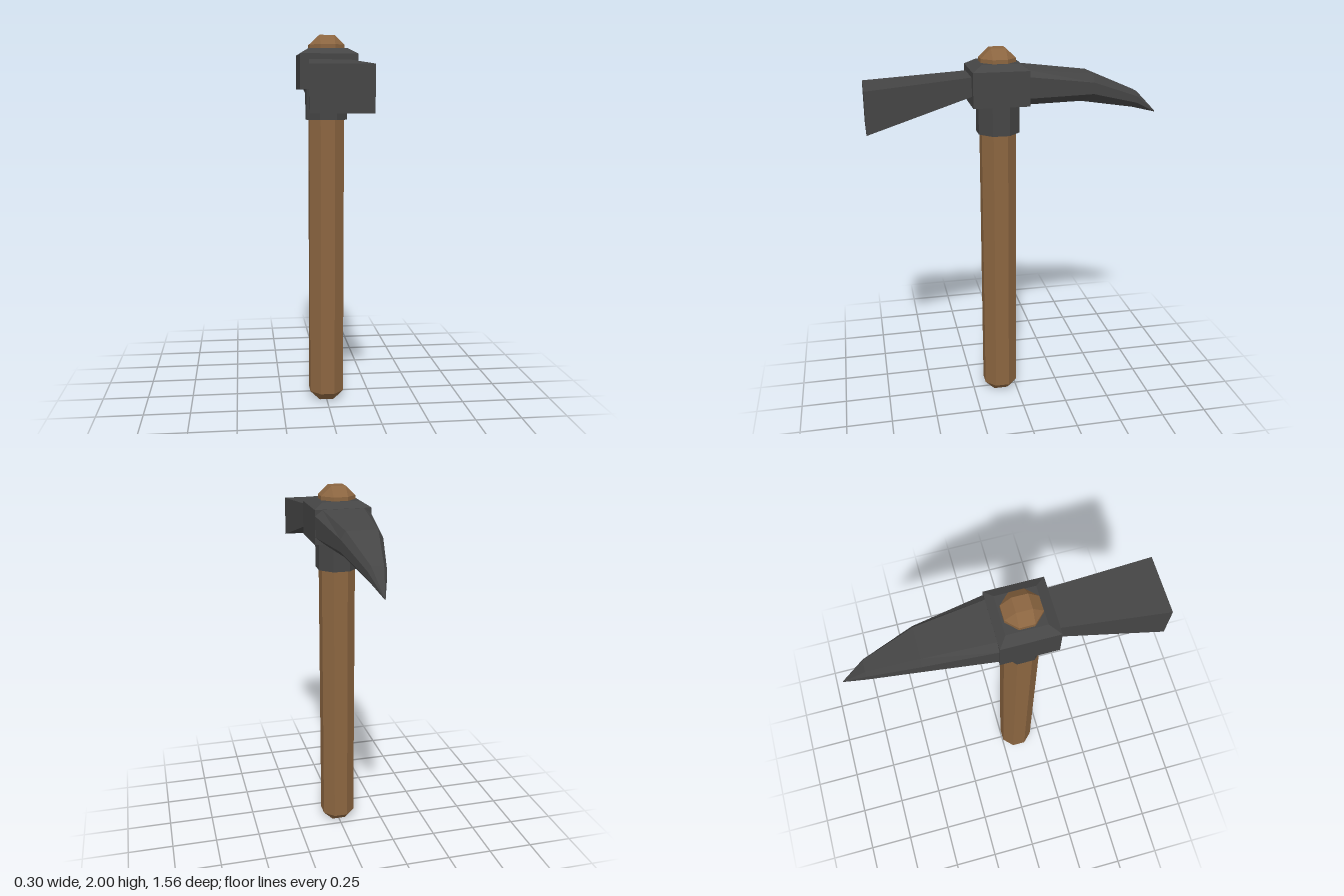
import * as THREE from 'three';
import { ConvexGeometry } from 'three/addons/geometries/ConvexGeometry.js';

const wood = new THREE.MeshStandardMaterial({ color: 0x8b6540, flatShading: true });
const iron = new THREE.MeshStandardMaterial({ color: 0x454545, flatShading: true });
const HANDLE_Z = 0.093;

// Rectangle of four corners at height y
const rectY = (hx, z0, z1, y) =>
  [[-hx, z0], [hx, z0], [hx, z1], [-hx, z1]].map(([x, z]) => new THREE.Vector3(x, y, z));

// Rectangle of four corners at depth z
const rectZ = (hx, y0, y1, z) =>
  [[-hx, y0], [hx, y0], [hx, y1], [-hx, y1]].map(([x, y]) => new THREE.Vector3(x, y, z));

// Octagon with flats facing the axes
function octagon(apothem, y) {
  const r = apothem / Math.cos(Math.PI / 8);
  return Array.from({ length: 8 }, (_, i) => {
    const a = (i + 0.5) * Math.PI / 4;
    return new THREE.Vector3(Math.cos(a) * r, y, HANDLE_Z + Math.sin(a) * r);
  });
}

// Skin between rings of equal point count, with both ends capped
function loft(rings) {
  const n = rings[0].length, pos = [], index = [];
  rings.forEach(ring => ring.forEach(p => pos.push(...p)));
  for (let r = 0; r < rings.length - 1; r++) {
    for (let i = 0; i < n; i++) {
      const a = r * n + i, b = r * n + (i + 1) % n;
      index.push(a, b, b + n, a, b + n, a + n);
    }
  }
  const last = (rings.length - 1) * n;
  for (let i = 1; i < n - 1; i++) {
    index.push(0, i + 1, i, last, last + i, last + i + 1);
  }
  const g = new THREE.BufferGeometry();
  g.setAttribute('position', new THREE.Float32BufferAttribute(pos, 3));
  g.setIndex(index);
  const flat = g.toNonIndexed();
  flat.computeVertexNormals();
  return flat;
}

// Eight-sided spike section: chamfered above and below
const spikeRing = ([z, top, upper, lower, bottom, hTop, hSide, hBottom, zBottom]) => [
  [hTop, top, z], [hSide, upper, z], [hSide, lower, z], [hBottom, bottom, zBottom],
  [-hBottom, bottom, zBottom], [-hSide, lower, z], [-hSide, upper, z], [-hTop, top, z],
];

export function createModel() {
  const group = new THREE.Group();
  const add = (name, geometry, material) => {
    const mesh = new THREE.Mesh(geometry, material);
    mesh.name = name;
    group.add(mesh);
  };

  // Octagonal shaft with square-tipped ends
  const tip = y => rectY(0.039, HANDLE_Z - 0.039, HANDLE_Z + 0.039, y);
  add('handle', new ConvexGeometry([
    ...tip(0), ...octagon(0.092, 0.05), ...octagon(0.092, 1.95), ...tip(2),
  ]), wood);

  // Collar under the head
  add('collar', new ConvexGeometry([...octagon(0.108, 1.56), ...octagon(0.108, 1.73)]), iron);

  // Central block with a bevelled top
  add('headBlock', new ConvexGeometry([
    ...rectY(0.15, -0.05, 0.243, 1.72),
    ...rectY(0.15, -0.05, 0.243, 1.9),
    ...rectY(0.1, -0.01, 0.19, 1.93),
  ]), iron);

  // Flaring blade at the front
  add('blade', new ConvexGeometry([
    ...rectZ(0.103, 1.78, 1.872, 0.22),
    ...rectZ(0.15, 1.61, 1.83, 0.78),
  ]), iron);

  // Curved spike at the back, ending in a point
  add('spike', loft([
    [-0.04, 1.9, 1.87, 1.76, 1.72, 0.11, 0.15, 0.1, -0.04],
    [-0.4, 1.86, 1.82, 1.76, 1.72, 0.08, 0.105, 0.07, -0.34],
    [-0.66, 1.75, 1.725, 1.69, 1.665, 0.03, 0.045, 0.025, -0.64],
    [-0.78, 1.632, 1.63, 1.629, 1.627, 0.001, 0.002, 0.001, -0.78],
  ].map(spikeRing)), iron);

  return group;
}
